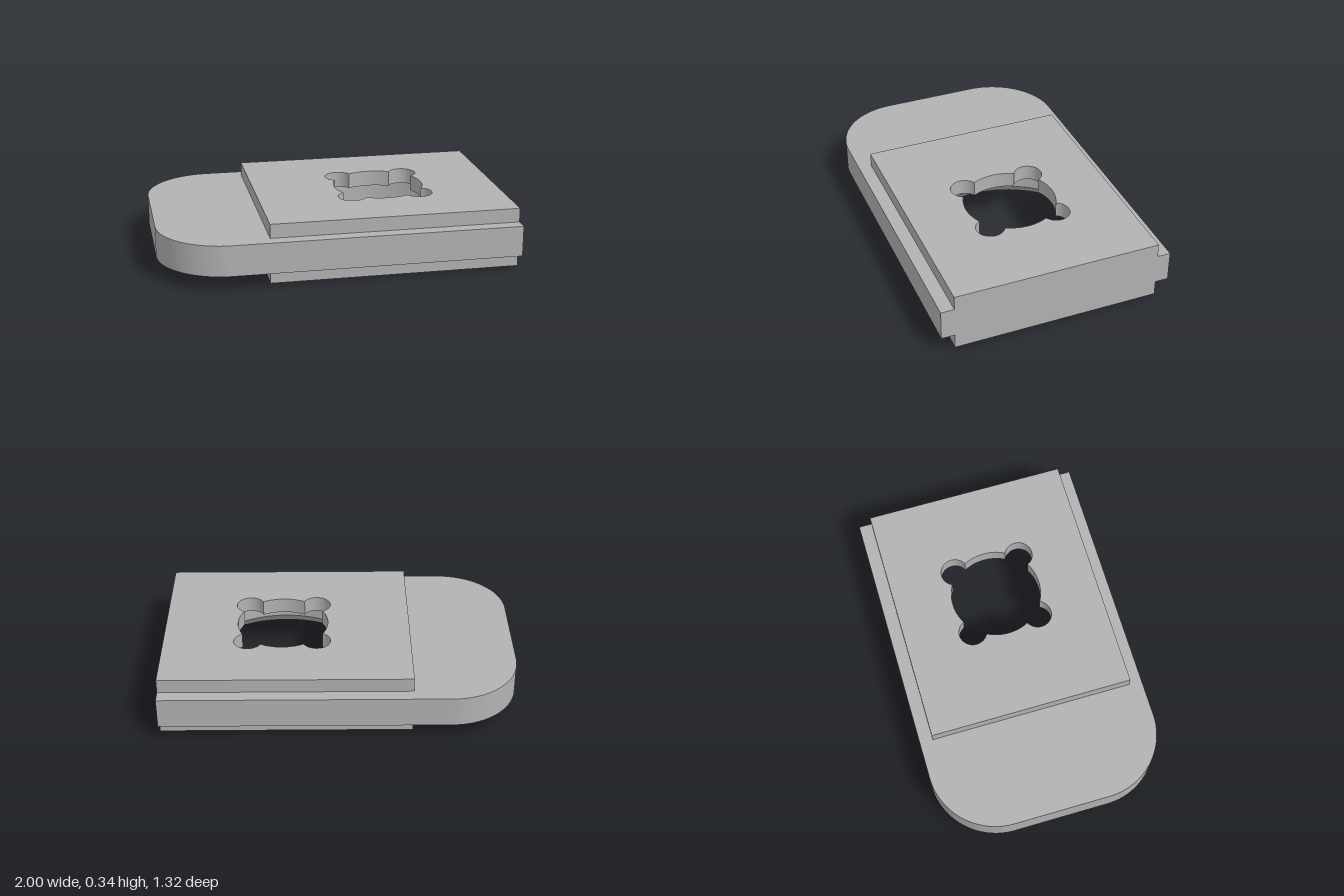
import * as THREE from 'three';
import { toCreasedNormals } from 'three/addons/utils/BufferGeometryUtils.js';

const CX = 0.325; // centre of the opening along x
const BORE = 0.516, RIM = 0.574;

function rectPath(path, x0, x1, z) {
  path.moveTo(x0, -z);
  path.lineTo(x1, -z);
  path.lineTo(x1, z);
  path.lineTo(x0, z);
  path.closePath();
  return path;
}

const blockShape = () => rectPath(new THREE.Shape(), -0.405, 1, 0.585);

// Plate outline with two rounded corners at the -x end
function plateShape() {
  const r = 0.385, w = 0.66;
  const s = new THREE.Shape();
  s.moveTo(1, -w);
  s.lineTo(1, w);
  s.lineTo(-1 + r, w);
  s.absarc(-1 + r, w - r, r, Math.PI / 2, Math.PI, false);
  s.lineTo(-1, -w + r);
  s.absarc(-1 + r, -w + r, r, Math.PI, Math.PI * 1.5, false);
  s.closePath();
  return s;
}

const circleHole = (r) => new THREE.Path().absarc(CX, 0, r, 0, Math.PI * 2, false);

// Round opening with four lobes on the diagonals
function lobedHole() {
  const R = 0.26, r = 0.08, d = 0.195 * Math.SQRT2;
  const a = (d * d + R * R - r * r) / (2 * d);
  const h = Math.sqrt(R * R - a * a);
  const half = Math.atan2(h, a);           // half angle cut from the main circle
  const lobe = Math.atan2(h, a - d);       // half angle swept by a lobe
  const p = new THREE.Path();
  for (let i = 0; i < 4; i++) {
    const t = Math.PI / 4 + i * Math.PI / 2;
    p.absarc(CX + d * Math.cos(t), d * Math.sin(t), r, t - lobe, t + lobe, false);
    p.absarc(CX, 0, R, t + half, t + Math.PI / 2 - half, false);
  }
  p.closePath();
  return p;
}

export function createModel() {
  const group = new THREE.Group();
  const grey = new THREE.MeshStandardMaterial({ color: 0xb2b2b2 });
  grey.name = 'grey';

  function add(name, geometry) {
    const mesh = new THREE.Mesh(geometry, grey);
    mesh.name = name;
    group.add(mesh);
    return mesh;
  }

  // Horizontal slab between two heights
  function layer(name, shape, holes, y0, y1) {
    shape.holes.push(...holes);
    const g = new THREE.ExtrudeGeometry(shape, { depth: y1 - y0, bevelEnabled: false, curveSegments: 40 });
    g.rotateX(-Math.PI / 2);
    g.translate(0, y0, 0);
    add(name, toCreasedNormals(g, 0.5));
  }

  // Two small slots in the underside, either side of the bore
  const slots = [-1, 1].map((s) =>
    rectPath(new THREE.Path(), CX + s * 0.625 - 0.03, CX + s * 0.625 + 0.03, 0.016));

  layer('lowerBlock', blockShape(), [circleHole(RIM), ...slots], 0, 0.068);
  layer('lowerBlockTop', blockShape(), [circleHole(BORE)], 0.068, 0.085);
  layer('plate', plateShape(), [circleHole(BORE)], 0.085, 0.25);
  layer('plateTop', plateShape(), [lobedHole()], 0.25, 0.26);
  layer('upperBlock', blockShape(), [lobedHole()], 0.26, 0.34);

  // Sloped lead-in at the mouth of the bore
  const chamfer = new THREE.LatheGeometry(
    [new THREE.Vector2(BORE, 0.068), new THREE.Vector2(RIM, 0)], 80);
  add('boreChamfer', chamfer).position.x = CX;

  return group;
}
